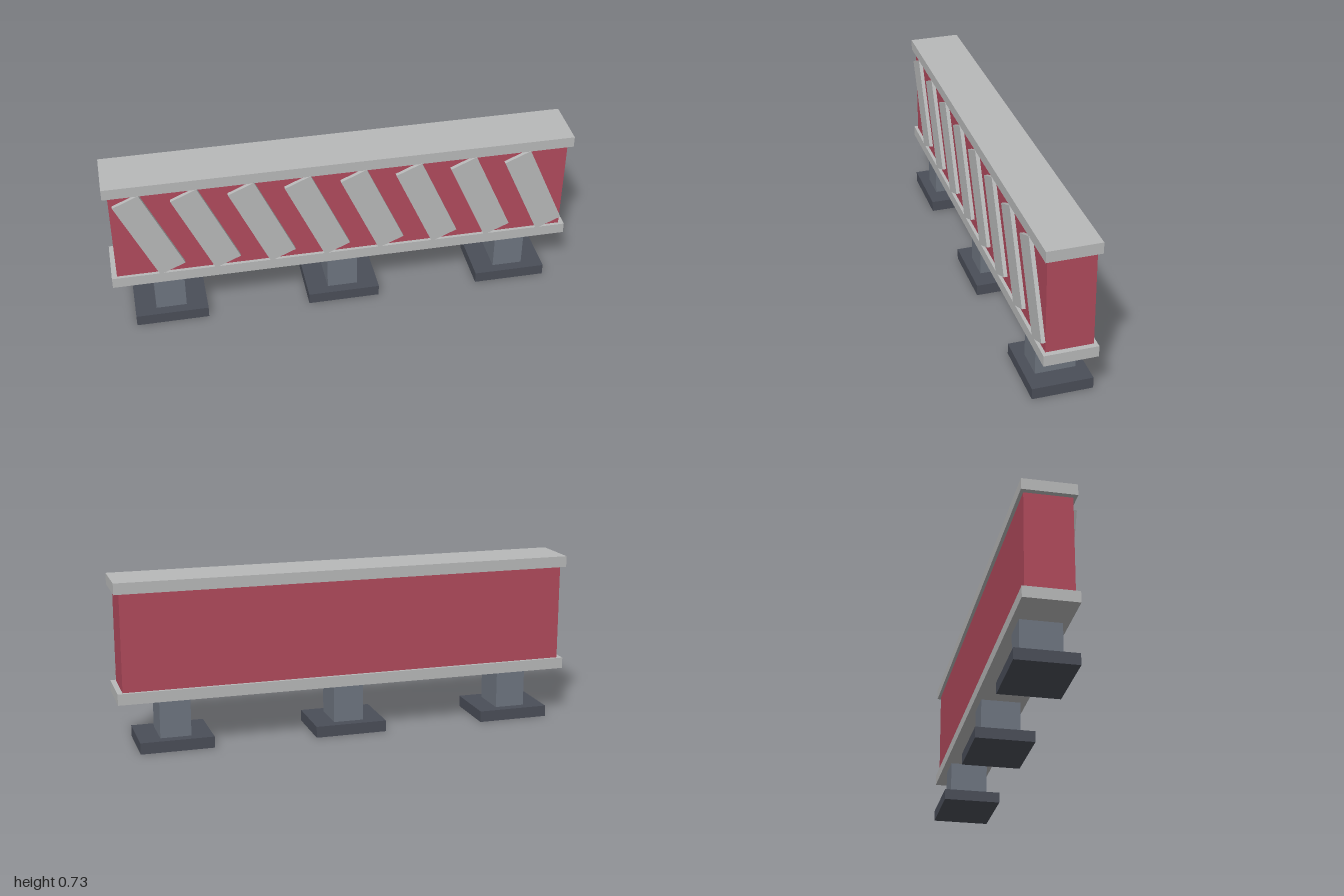
import * as THREE from 'three';

const mat = (name, color) => {
  const m = new THREE.MeshStandardMaterial({ color });
  m.name = name;
  return m;
};

export function createModel() {
  const model = new THREE.Group();
  model.name = 'barrier';

  const red = mat('red', 0xb04a5c);
  const lightGrey = mat('light grey', 0xb8b9b9);
  const slate = mat('slate grey', 0x6e7580);
  const darkSlate = mat('dark slate', 0x4a4e58);

  // Box given by its size and centre
  const box = (name, material, [w, h, d], [x, y, z], parent = model) => {
    const mesh = new THREE.Mesh(new THREE.BoxGeometry(w, h, d), material);
    mesh.name = name;
    mesh.position.set(x, y, z);
    parent.add(mesh);
    return mesh;
  };

  // Panel between two overhanging rails
  box('panel', red, [1.955, 0.43, 0.197], [0, 0.472, 0]);
  box('bottomRail', lightGrey, [2, 0.048, 0.225], [0, 0.239, 0]);
  box('topRail', lightGrey, [2, 0.048, 0.225], [0, 0.704, 0]);

  // Slanted stripes on the front of the panel
  const stripes = new THREE.Group();
  stripes.name = 'stripes';
  model.add(stripes);
  for (let i = 0; i < 8; i++) {
    const stripe = box('stripe', lightGrey, [0.12, 0.412, 0.017],
      [-0.824 + i * 0.2376, 0.471, 0.1065], stripes);
    stripe.rotation.z = 0.42;
  }

  // Three feet, each a post on a base plate
  for (const x of [-0.76, 0, 0.76]) {
    const foot = new THREE.Group();
    foot.name = 'foot';
    foot.position.x = x;
    box('post', slate, [0.132, 0.18, 0.171], [0, 0.13, 0], foot);
    box('basePlate', darkSlate, [0.314, 0.049, 0.256], [0, 0.0245, 0], foot);
    model.add(foot);
  }

  return model;
}
